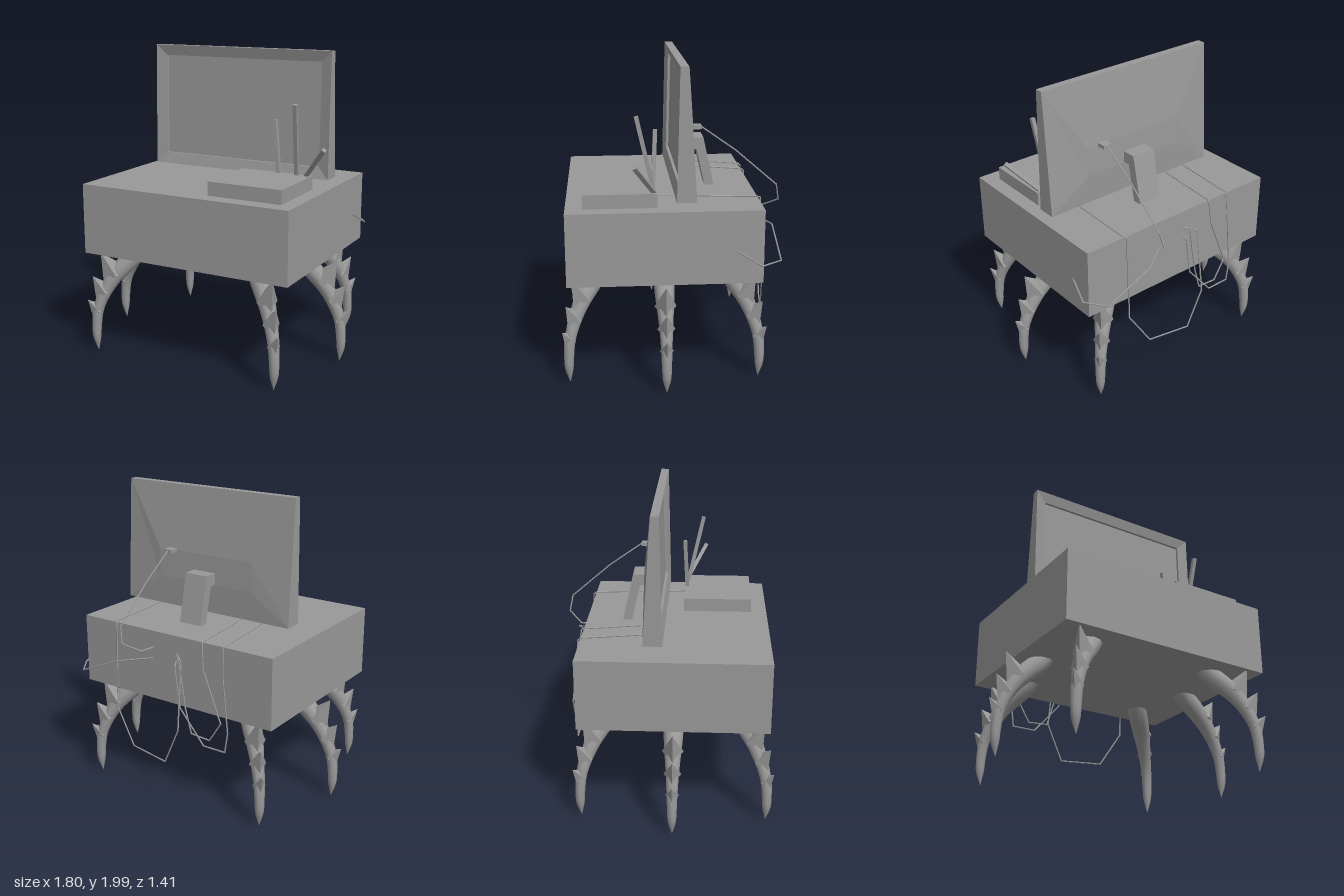
import * as THREE from 'three';

const COLOR = 0x999999;
const smooth = new THREE.MeshStandardMaterial({ color: COLOR });
const flat = new THREE.MeshStandardMaterial({ color: COLOR, flatShading: true });
const V = (x, y, z) => new THREE.Vector3(x, y, z);
const UP = V(0, 1, 0);

function add(parent, name, geometry, material = flat) {
  const mesh = new THREE.Mesh(geometry, material);
  mesh.name = name;
  parent.add(mesh);
  return mesh;
}

// Box given by its min and max on each axis
function box(parent, name, x0, x1, y0, y1, z0, z1) {
  const mesh = add(parent, name, new THREE.BoxGeometry(x1 - x0, y1 - y0, z1 - z0));
  mesh.position.set((x0 + x1) / 2, (y0 + y1) / 2, (z0 + z1) / 2);
}

// Places a y-aligned mesh so that it runs from a to b
function span(mesh, a, b) {
  mesh.position.copy(a).add(b).multiplyScalar(0.5);
  mesh.quaternion.setFromUnitVectors(UP, b.clone().sub(a).normalize());
}

// Closed shell through rectangular rings, back to front: [x0, x1, y0, y1, zBottom, zTop]
function rectLoft(rings) {
  const pts = rings.map(([x0, x1, y0, y1, zb, zt]) =>
    [V(x0, y0, zb), V(x1, y0, zb), V(x1, y1, zt), V(x0, y1, zt)]);
  const tris = [];
  const quad = (a, b, c, d) => tris.push(a, b, c, a, c, d);
  for (let k = 0; k < pts.length - 1; k++) {
    for (let i = 0; i < 4; i++) {
      const j = (i + 1) % 4;
      quad(pts[k][i], pts[k][j], pts[k + 1][j], pts[k + 1][i]);
    }
  }
  quad(...[...pts[0]].reverse());
  quad(...pts[pts.length - 1]);
  const g = new THREE.BufferGeometry().setFromPoints(tris);
  g.computeVertexNormals();
  return g;
}

// Tapered limb in the xy plane; each key is (x, y, radius)
function limb(keys, steps = 20, sides = 10) {
  const curve = new THREE.CatmullRomCurve3(keys);
  const pos = [], index = [];
  for (let k = 0; k <= steps; k++) {
    const p = curve.getPoint(k / steps);
    const t = curve.getTangent(k / steps);
    const len = Math.hypot(t.x, t.y);
    const r = Math.max(p.z, 0.001);
    for (let i = 0; i < sides; i++) {
      const a = (i / sides) * Math.PI * 2;
      const c = r * Math.cos(a);
      pos.push(p.x - (c * t.y) / len, p.y + (c * t.x) / len, r * Math.sin(a));
      if (k < steps) {
        const j = (i + 1) % sides, A = k * sides, B = A + sides;
        index.push(A + i, A + j, B + j, A + i, B + j, B + i);
      }
    }
  }
  const g = new THREE.BufferGeometry();
  g.setAttribute('position', new THREE.Float32BufferAttribute(pos, 3));
  g.setIndex(index);
  g.computeVertexNormals();
  return g;
}

// Clawed leg pointing along +x, with three overlapping spikes on its outer side
function makeLeg() {
  const leg = new THREE.Group();
  add(leg, 'legLimb', limb([
    V(0.525, 0.73, 0.066), V(0.575, 0.66, 0.066), V(0.65, 0.59, 0.063), V(0.72, 0.515, 0.054),
    V(0.785, 0.41, 0.043), V(0.83, 0.3, 0.036), V(0.845, 0.17, 0.031), V(0.845, 0.1, 0.026),
    V(0.838, 0.012, 0.001),
  ]), smooth);
  // base centre, tip, base radius
  const spikes = [
    [0.715, 0.535, 0.805, 0.69, 0.088],
    [0.785, 0.415, 0.862, 0.53, 0.072],
    [0.828, 0.288, 0.9, 0.37, 0.055],
  ];
  for (const [x0, y0, x1, y1, r] of spikes) {
    const a = V(x0, y0, 0), b = V(x1, y1, 0);
    const spike = add(leg, 'legSpike', new THREE.ConeGeometry(r, a.distanceTo(b), 4));
    spike.scale.z = 0.78;
    span(spike, a, b);
  }
  return leg;
}

// Angular cable made of straight runs
function cable(parent, name, points) {
  const group = new THREE.Group();
  group.name = name;
  parent.add(group);
  const pts = points.map((p) => V(...p));
  for (let i = 0; i < pts.length - 1; i++) {
    const h = pts[i].distanceTo(pts[i + 1]) + 0.004;
    span(add(group, 'cableRun', new THREE.CylinderGeometry(0.005, 0.005, h, 5)), pts[i], pts[i + 1]);
  }
}

export function createModel() {
  const model = new THREE.Group();
  model.name = 'walkingScreenCabinet';

  box(model, 'cabinet', -0.73, 0.735, 0.68, 1.143, -0.545, 0.657);

  // Six legs: one on each side and one at each corner
  const legs = new THREE.Group();
  legs.name = 'legs';
  legs.position.z = 0.056;
  for (const degrees of [0, 42.5, 137.5, 180, 222.5, 317.5]) {
    const pivot = new THREE.Group();
    pivot.name = 'leg';
    pivot.rotation.y = THREE.MathUtils.degToRad(degrees);
    const leg = makeLeg();
    leg.position.x = degrees % 180 ? 0.045 : 0;
    pivot.add(leg);
    legs.add(pivot);
  }
  model.add(legs);

  // Screen: slightly bulged back, sloping bezel and recessed panel
  add(model, 'screen', rectLoft([
    [-0.31, 0.415, 1.38, 1.57, -0.145, -0.14],
    [-0.59, 0.696, 1.187, 2, -0.137, -0.085],
    [-0.59, 0.696, 1.187, 2, -0.015, -0.033],
    [-0.515, 0.625, 1.26, 1.93, -0.035, -0.051],
    [-0.515, 0.625, 1.26, 1.93, -0.053, -0.069],
  ]));

  // Bent stand behind the screen, drawn as (-z, y)
  const profile = new THREE.Shape([
    [0.13, 1.385], [0.19, 1.385], [0.245, 1.143], [0.305, 1.143], [0.235, 1.46], [0.13, 1.46],
  ].map(([u, y]) => new THREE.Vector2(u, y)));
  const stand = new THREE.ExtrudeGeometry(profile, { depth: 0.167, bevelEnabled: false });
  stand.rotateY(Math.PI / 2).translate(-0.037, 0, 0);
  add(model, 'screenStand', stand);

  // Small flat box with three antennas
  box(model, 'antennaBox', 0.141, 0.64, 1.143, 1.232, 0.097, 0.552);
  const antennas = [
    [[0.411, 1.222, 0.112], [0.373, 1.57, 0.095]],
    [[0.539, 1.222, 0.115], [0.568, 1.69, 0.22]],
    [[0.596, 1.222, 0.11], [0.773, 1.43, 0.242]],
  ];
  for (const [p, q] of antennas) {
    const a = V(...p), b = V(...q);
    span(add(model, 'antenna', new THREE.BoxGeometry(0.026, a.distanceTo(b), 0.026)), a, b);
  }

  // Plug and cables
  box(model, 'screenPlug', 0.275, 0.333, 1.558, 1.582, -0.2, -0.125);
  cable(model, 'screenCable', [
    [0.305, 1.57, -0.2], [0.305, 1.415, -0.42], [0.305, 1.183, -0.69],
    [0.28, 1.078, -0.71], [0.2, 1.018, -0.62], [0.16, 1.033, -0.54],
  ]);
  cable(model, 'antennaBoxCable', [
    [0.465, 1.173, 0.1], [0.465, 1.153, -0.54], [0.45, 1.143, -0.56], [0.448, 0.56, -0.585],
    [0.297, 0.325, -0.61], [0.003, 0.31, -0.65], [-0.11, 0.56, -0.655], [-0.1, 1, -0.6],
    [-0.02, 1.03, -0.54],
  ]);
  cable(model, 'outerLoopCable', [
    [-0.395, 1.185, -0.13], [-0.395, 1.153, -0.545], [-0.39, 1.138, -0.56], [-0.4, 0.95, -0.575],
    [-0.437, 0.6, -0.578], [-0.417, 0.465, -0.58], [-0.255, 0.465, -0.58], [-0.07, 0.68, -0.578],
    [-0.03, 0.95, -0.575], [-0.02, 0.98, -0.54],
  ]);
  cable(model, 'innerLoopCable', [
    [-0.235, 1.185, -0.13], [-0.235, 1.153, -0.545], [-0.235, 1.138, -0.56], [-0.25, 0.98, -0.575],
    [-0.385, 0.65, -0.578], [-0.3, 0.515, -0.58], [-0.16, 0.525, -0.58], [-0.115, 0.68, -0.578],
    [-0.06, 1.0, -0.575], [-0.02, 1.03, -0.54],
  ]);
  cable(model, 'sideCable', [
    [0.167, 0.955, -0.54], [0.353, 0.933, -0.66], [0.673, 0.8, -0.663],
    [0.767, 0.8, -0.533], [0.732, 0.885, -0.383],
  ]);

  return model;
}
